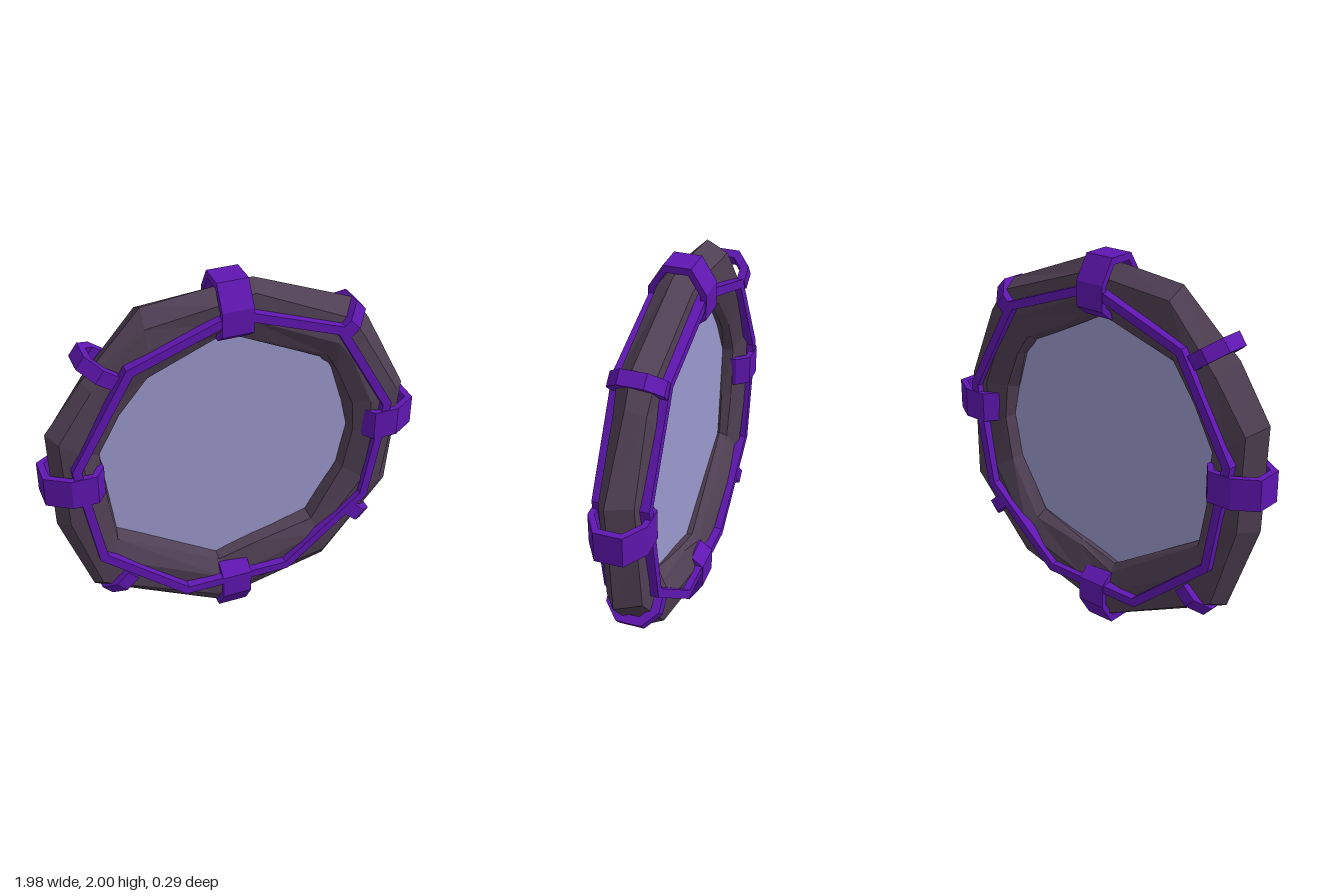
import * as THREE from 'three';

const material = (color, extra = {}) => new THREE.MeshStandardMaterial({ color, flatShading: true, ...extra });
const purple = material(0x5f16b0);
const stone = material(0x4f3f53);
const glass = material(0x9a98cc, { side: THREE.DoubleSide });

// Uneven stone ring, clockwise from the top: outer x, y and inner x, y
const stations = [
  [0.105, 1.965, 0.025, 1.675], [0.635, 1.755, 0.47, 1.45], [0.73, 1.62, 0.54, 1.36],
  [0.935, 1.21, 0.605, 1.16], [0.92, 0.96, 0.645, 0.985], [0.885, 0.59, 0.6, 0.76],
  [0.525, 0.17, 0.43, 0.48], [0.06, 0.05, 0.12, 0.4], [-0.09, 0.01, -0.09, 0.34],
  [-0.775, 0.335, -0.63, 0.665], [-0.94, 0.8, -0.66, 0.9], [-0.955, 1.345, -0.695, 1.17],
  [-0.765, 1.61, -0.58, 1.37], [-0.455, 1.92, -0.445, 1.55], [-0.1, 1.957, -0.045, 1.685],
];
// Cross-section of the stone: share of the way inward, z
const section = [[0, 0.03], [0.2, 0.09], [0.62, 0.105], [0.93, 0.06], [1, -0.01], [0.93, -0.06], [0.6, -0.105], [0.18, -0.09]];

function seeded(seed) {
  return () => (seed = (seed * 16807) % 2147483647) / 2147483647;
}

function stoneGeometry() {
  const random = seeded(77);
  const n = stations.length, m = section.length;
  const positions = [], index = [];
  stations.forEach(([ox, oy, ix, iy], i) => {
    section.forEach(([u, z], j) => {
      const edge = u === 0 || u === 1;
      const t = edge ? u : u + (random() - 0.5) * 0.1;
      const depth = z + (random() - 0.5) * (edge ? 0.05 : 0.02);
      positions.push(ox + (ix - ox) * t, oy + (iy - oy) * t, depth);
      const k = ((i + 1) % n) * m, l = (j + 1) % m;
      index.push(i * m + j, i * m + l, k + l, i * m + j, k + l, k + j);
    });
  });
  const geometry = new THREE.BufferGeometry();
  geometry.setAttribute('position', new THREE.Float32BufferAttribute(positions, 3));
  geometry.setIndex(index);
  geometry.computeVertexNormals();
  return geometry;
}

const toPoints = (list) => list.map(([x, y]) => new THREE.Vector2(x, y));

// Extrudes a profile (distance outward, z) across its width and turns it to face outward
function addClamp(group, name, shape, width, x, y, dx, dy) {
  const geometry = new THREE.ExtrudeGeometry(shape, { depth: width, bevelEnabled: false });
  geometry.translate(0, 0, -width / 2);
  const out = new THREE.Vector3(dx, dy, 0).normalize();
  const front = new THREE.Vector3(0, 0, 1);
  const basis = new THREE.Matrix4().makeBasis(out, front, out.clone().cross(front));
  geometry.applyMatrix4(basis.setPosition(x, y, 0));
  const mesh = new THREE.Mesh(geometry, purple);
  mesh.name = name;
  group.add(mesh);
}

export function createModel() {
  const group = new THREE.Group();

  const ring = new THREE.Mesh(stoneGeometry(), stone);
  ring.name = 'stoneRing';
  group.add(ring);

  // Pane, its rim buried in the stone
  const paneShape = new THREE.Shape(toPoints(stations.map(([ox, oy, ix, iy]) => [(ox + ix) / 2, (oy + iy) / 2])));
  const pane = new THREE.Mesh(new THREE.ShapeGeometry(paneShape), glass);
  pane.name = 'pane';
  group.add(pane);

  // Nine-sided rails on front and back
  const nonagon = (r) => Array.from({ length: 9 }, (_, i) => {
    const a = Math.PI / 2 + (i * Math.PI * 2) / 9;
    return new THREE.Vector2(-0.015 + r * Math.cos(a), 1.015 + r * Math.sin(a));
  });
  const railShape = new THREE.Shape(nonagon(0.86));
  railShape.holes.push(new THREE.Path(nonagon(0.812)));
  const railGeometry = new THREE.ExtrudeGeometry(railShape, { depth: 0.055, bevelEnabled: false });
  for (const [name, z] of [['frontRail', 0.085], ['backRail', -0.14]]) {
    const rail = new THREE.Mesh(railGeometry, purple);
    rail.name = name;
    rail.position.z = z;
    group.add(rail);
  }

  // Large eight-sided clamps around the stone
  const large = new THREE.Shape(toPoints([
    [0.15, -0.07], [0.15, 0.07], [0.03, 0.145], [-0.1, 0.145],
    [-0.15, 0.08], [-0.15, -0.08], [-0.1, -0.145], [0.03, -0.145],
  ]));
  large.holes.push(new THREE.Path(toPoints([
    [0.115, -0.055], [0.115, 0.055], [0.02, 0.115], [-0.085, 0.115],
    [-0.12, 0.065], [-0.12, -0.065], [-0.085, -0.115], [0.02, -0.115],
  ])));
  addClamp(group, 'topClamp', large, 0.16, -0.02, 1.85, 0, 1);
  addClamp(group, 'bottomClamp', large, 0.16, -0.02, 0.15, 0, -1);
  addClamp(group, 'leftClamp', large, 0.16, 0.842, 1.04, 1, 0);
  addClamp(group, 'rightClamp', large, 0.16, -0.842, 1.04, -1, 0);

  // Small open clamps reaching from rail to rail; placed by their outer ends
  const small = new THREE.Shape(toPoints([
    [0, -0.065], [0, 0.065], [-0.085, 0.138], [-0.175, 0.138], [-0.175, 0.095], [-0.1, 0.095],
    [-0.045, 0.048], [-0.045, -0.048], [-0.1, -0.095], [-0.175, -0.095], [-0.175, -0.138], [-0.085, -0.138],
  ]));
  addClamp(group, 'upperLeftSmallClamp', small, 0.075, 0.655, 1.735, 0.72, 0.69);
  addClamp(group, 'lowerLeftSmallClamp', small, 0.075, 0.763, 0.4, 0.75, -0.66);
  addClamp(group, 'lowerRightSmallClamp', small, 0.075, -0.72, 0.31, -0.72, -0.69);
  addClamp(group, 'upperRightSmallClamp', small, 0.075, -0.763, 1.718, -0.81, 0.58);

  return group;
}
